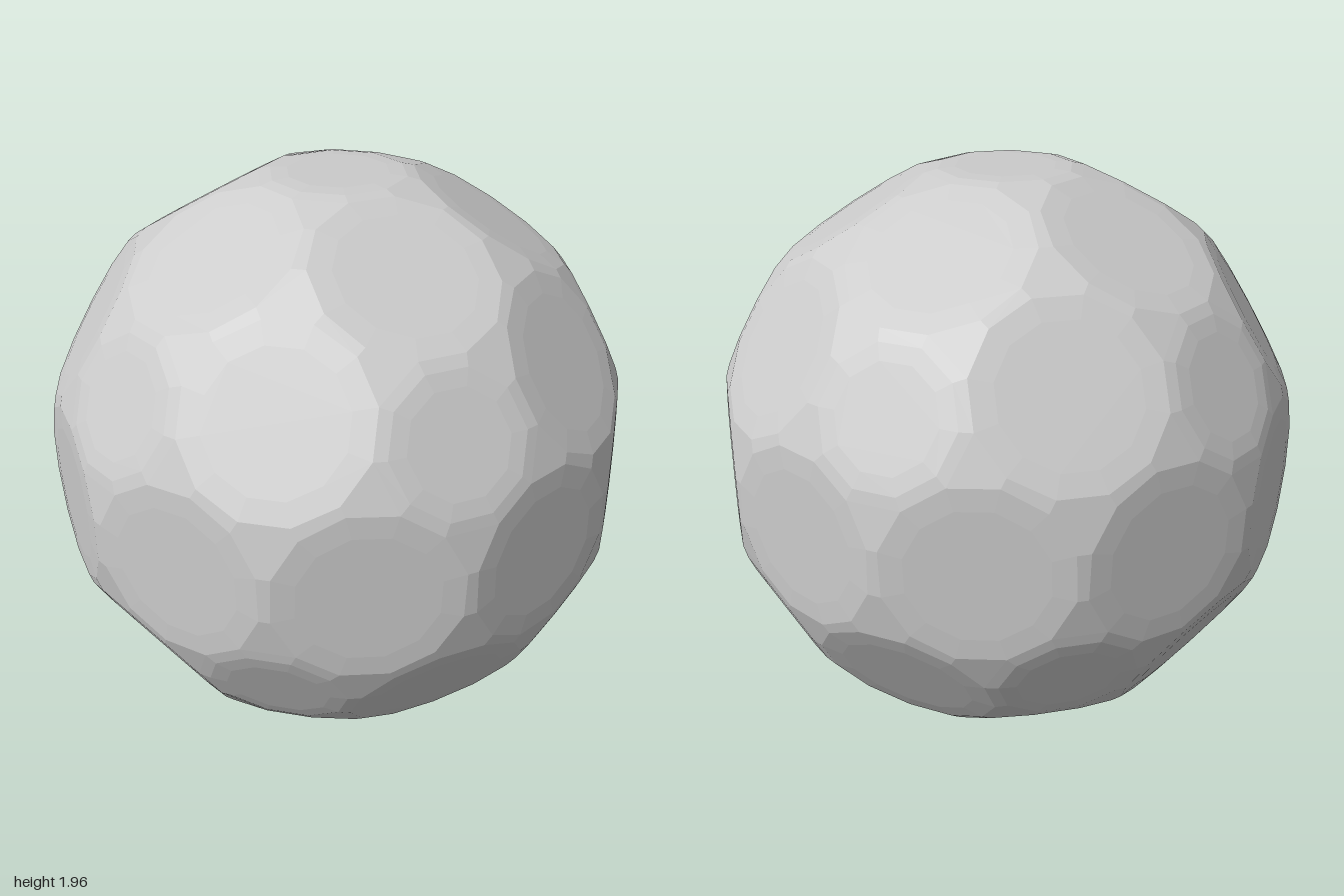
import * as THREE from 'three';
import { ConvexGeometry } from 'three/addons/geometries/ConvexGeometry.js';

const PENT = { distance: 0.98, radius: 0.226, sides: 10 }; // 12 small panels
const HEX = { distance: 0.96, radius: 0.3, sides: 12 };    // 30 large panels

// The 12 icosahedron directions, with poles on the y axis
function icosahedronDirections() {
  const dirs = [new THREE.Vector3(0, 1, 0), new THREE.Vector3(0, -1, 0)];
  const h = 1 / Math.sqrt(5);
  for (let i = 0; i < 5; i++) {
    const a = (i * 2 * Math.PI) / 5;
    const d = new THREE.Vector3(2 * h * Math.cos(a), h, 2 * h * Math.sin(a));
    dirs.push(d, d.clone().negate());
  }
  return dirs;
}

// One faceted disc: flat middle with a slightly dropped rim,
// its flat sides turned towards the neighbouring panels
function addPanel(points, normal, toward, { distance, radius, sides }) {
  const u = toward.clone().addScaledVector(normal, -toward.dot(normal)).normalize();
  const v = new THREE.Vector3().crossVectors(normal, u);
  for (const [scale, drop] of [[0.75, 0], [1, 0.004]]) {
    for (let i = 0; i < sides; i++) {
      const a = ((i + 0.5) * 2 * Math.PI) / sides;
      points.push(normal.clone().multiplyScalar(distance - drop)
        .addScaledVector(u, Math.cos(a) * radius * scale)
        .addScaledVector(v, Math.sin(a) * radius * scale));
    }
  }
}

export function createModel() {
  const group = new THREE.Group();
  group.name = 'facetedBall';

  const dirs = icosahedronDirections();
  const points = [];
  dirs.forEach((d, i) => {
    const neighbours = dirs.filter((e) => e !== d && d.dot(e) > 0.4);
    addPanel(points, d, neighbours[0], PENT);
    // A large panel over the middle of each icosahedron edge
    for (const e of neighbours) {
      if (dirs.indexOf(e) > i) addPanel(points, d.clone().add(e).normalize(), d, HEX);
    }
  });

  // The hull joins the panels with narrow bevels and corner facets
  const ball = new THREE.Mesh(
    new ConvexGeometry(points),
    new THREE.MeshStandardMaterial({ color: 0xcccccc, flatShading: true })
  );
  ball.name = 'panelledShell';
  ball.position.y = PENT.distance;
  group.add(ball);
  return group;
}
